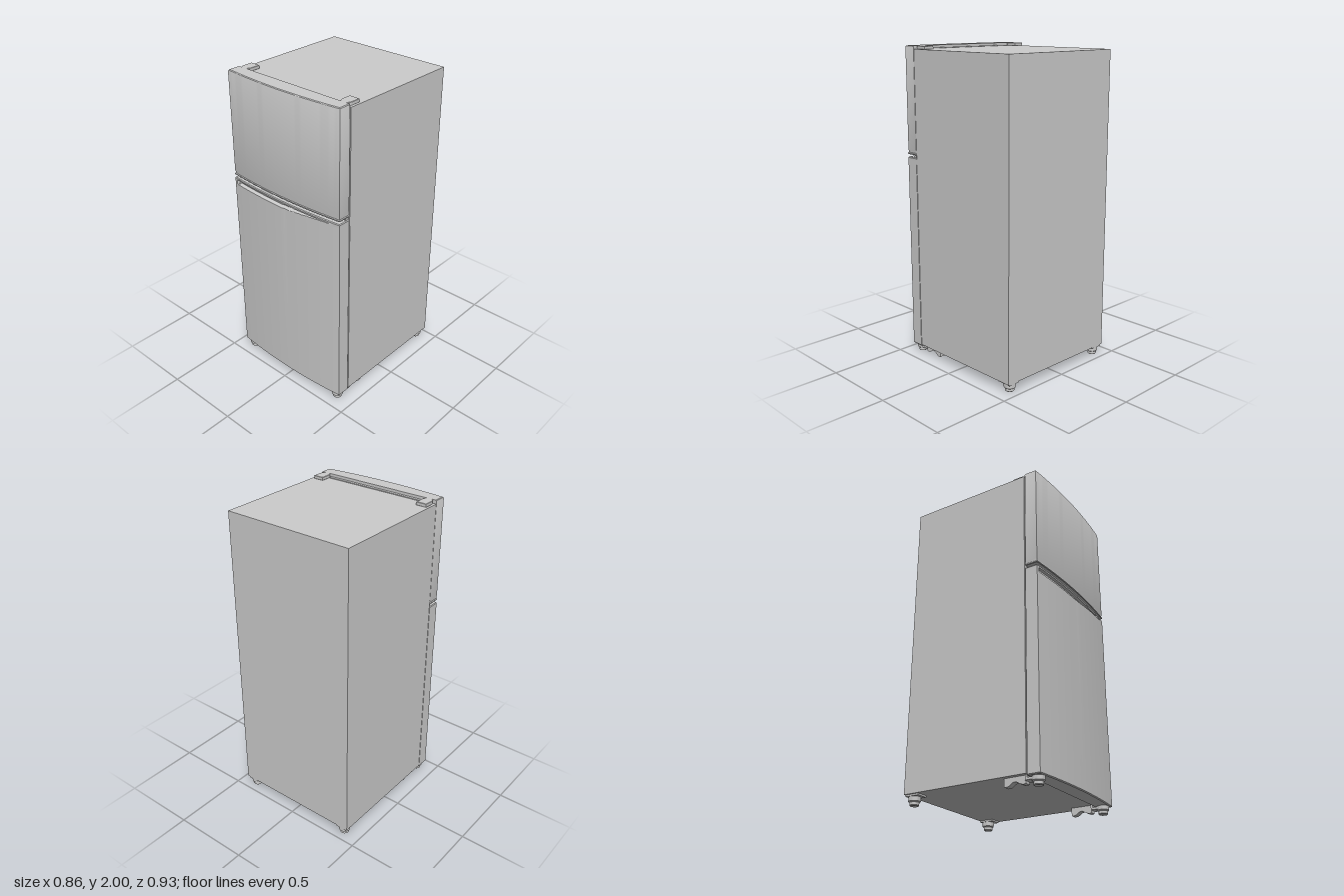
import * as THREE from 'three';
import { toCreasedNormals } from 'three/addons/utils/BufferGeometryUtils.js';

const mat = new THREE.MeshStandardMaterial({ color: 0xcccccc });
const HALF = 0.43, BACK = 0.36, COLS = 44;

function add(parent, name, geo, x = 0, y = 0, z = 0) {
  const mesh = new THREE.Mesh(geo, mat);
  mesh.name = name;
  mesh.position.set(x, y, z);
  parent.add(mesh);
  return mesh;
}

function addBox(parent, name, x0, x1, y0, y1, z0, z1) {
  return add(parent, name, new THREE.BoxGeometry(x1 - x0, y1 - y0, z1 - z0),
    (x0 + x1) / 2, (y0 + y1) / 2, (z0 + z1) / 2);
}

// Bowed door lofted from plan outlines; rows are [height, edge inset]
function doorGeometry(rows, setback = () => 0) {
  const pos = [], idx = [], n = COLS + 3;
  for (const [y, inset] of rows) {
    const w = HALF - inset;
    for (let i = 0; i <= COLS; i++) {
      const t = (i / COLS) * 2 - 1;
      pos.push(t * w, y, 0.466 - 0.025 * t * t - inset - setback(t * w, y));
    }
    pos.push(w, y, BACK, -w, y, BACK);
  }
  for (let r = 0; r < rows.length - 1; r++) {
    for (let i = 0; i < n; i++) {
      const a = r * n + i, b = r * n + (i + 1) % n;
      idx.push(a, b, b + n, a, b + n, a + n);
    }
  }
  const top = (rows.length - 1) * n;
  for (let i = 0; i < n - 2; i++) {
    idx.push(n - 1, i + 1, i);
    idx.push(top + n - 1, top + i, top + i + 1);
  }
  const geo = new THREE.BufferGeometry();
  geo.setAttribute('position', new THREE.Float32BufferAttribute(pos, 3));
  geo.setIndex(idx);
  return toCreasedNormals(geo, 0.5);
}

// Finger recess: its lower edge rises and fades out toward the hinge side
const GRIP_TOP = 1.297;
function gripSetback(x, y) {
  if (x < -0.4 || y > GRIP_TOP) return 0;
  const lower = 1.268 + 0.029 * THREE.MathUtils.smoothstep(x, -0.05, 0.4);
  return 0.02 * THREE.MathUtils.clamp((y - lower) / 0.008, 0, 1);
}

// Hinge cover: square at the back, rounded toward the door
function hingeCoverGeometry() {
  const s = new THREE.Shape();
  s.moveTo(-0.034, -0.27);
  s.lineTo(-0.034, -0.325);
  s.quadraticCurveTo(-0.032, -0.352, -0.015, -0.362);
  s.lineTo(0.015, -0.362);
  s.quadraticCurveTo(0.032, -0.352, 0.034, -0.325);
  s.lineTo(0.034, -0.27);
  const geo = new THREE.ExtrudeGeometry(s, {
    depth: 0.017, bevelSize: 0.002, bevelThickness: 0.002, bevelOffset: -0.002, bevelSegments: 1,
  });
  geo.rotateX(-Math.PI / 2);
  return geo;
}

// Support under the cabinet with an arched lower edge, profile in z and y
function supportGeometry() {
  const s = new THREE.Shape();
  s.moveTo(0.335, 0.066);
  s.lineTo(0.335, 0.018);
  s.lineTo(0.318, 0.014);
  s.quadraticCurveTo(0.292, 0.022, 0.275, 0.034);
  s.quadraticCurveTo(0.255, 0.038, 0.24, 0.024);
  s.quadraticCurveTo(0.225, 0.01, 0.2, 0.014);
  s.lineTo(0.2, 0.066);
  const geo = new THREE.ExtrudeGeometry(s, { depth: 0.04, bevelEnabled: false });
  geo.translate(0, 0, -0.02);
  geo.rotateY(-Math.PI / 2);
  return geo;
}

function footGeometry(height) {
  const profile = [[0, 0], [0.024, 0], [0.028, 0.004], [0.028, 0.02], [0.036, 0.026], [0.036, height], [0, height]];
  return toCreasedNormals(new THREE.LatheGeometry(profile.map(p => new THREE.Vector2(...p)), 24), 0.6);
}

export function createModel() {
  const model = new THREE.Group();
  model.name = 'refrigerator';

  // Cabinet, seal and top trim
  addBox(model, 'cabinet', -HALF, HALF, 0.062, 1.98, -0.466, 0.354);
  addBox(model, 'upperSeal', -0.42, 0.42, 1.34, 1.97, 0.353, 0.361);
  addBox(model, 'lowerSeal', -0.42, 0.42, 0.07, 1.3, 0.353, 0.361);
  addBox(model, 'topTrim', -0.345, 0.345, 1.978, 1.985, 0.335, 0.354);

  // Doors
  add(model, 'upperDoor', doorGeometry([
    [1.328, 0.003], [1.332, 0], [1.337, 0], [1.341, 0.004], [1.35, 0.004], [1.36, 0.002],
    [1.99, 0.002], [1.996, 0.004], [2, 0.009],
  ]));
  const rows = [[0.05, 0.006], [0.056, 0.001], [1.262, 0.001]];
  for (let i = 0; i <= 10; i++) rows.push([1.267 + 0.003 * i, 0.001]);
  rows.push([1.2972, 0.001], [1.307, 0], [1.312, 0.004]);
  add(model, 'lowerDoor', doorGeometry(rows, gripSetback));

  // Middle hinge on the hinge side
  addBox(model, 'middleHingePlate', 0.34, 0.425, 1.313, 1.326, 0.35, 0.385);
  addBox(model, 'middleHingeTab', 0.36, 0.432, 1.27, 1.33, 0.352, 0.361);

  // Mirrored hardware
  const cover = hingeCoverGeometry(), support = supportGeometry();
  const frontFoot = footGeometry(0.052), rearFoot = footGeometry(0.064);
  for (const side of [-1, 1]) {
    const x = side * 0.381;
    add(model, 'hingeCover', cover, x, 1.981, 0);
    add(model, 'support', support, x, 0, 0);
    add(model, 'frontFoot', frontFoot, x, 0, 0.402);
    addBox(model, 'lowerHingePlate', x - 0.03, x + 0.03, 0.032, 0.046, 0.345, 0.4);
    addBox(model, 'lowerHingeTab', x - 0.03, x + 0.03, 0.032, 0.066, 0.335, 0.348);
    add(model, 'rearFoot', rearFoot, x, 0, -0.425);
    addBox(model, 'rearFootPlate', x - 0.038, x + 0.038, 0.052, 0.064, -0.463, -0.37);
  }
  return model;
}
